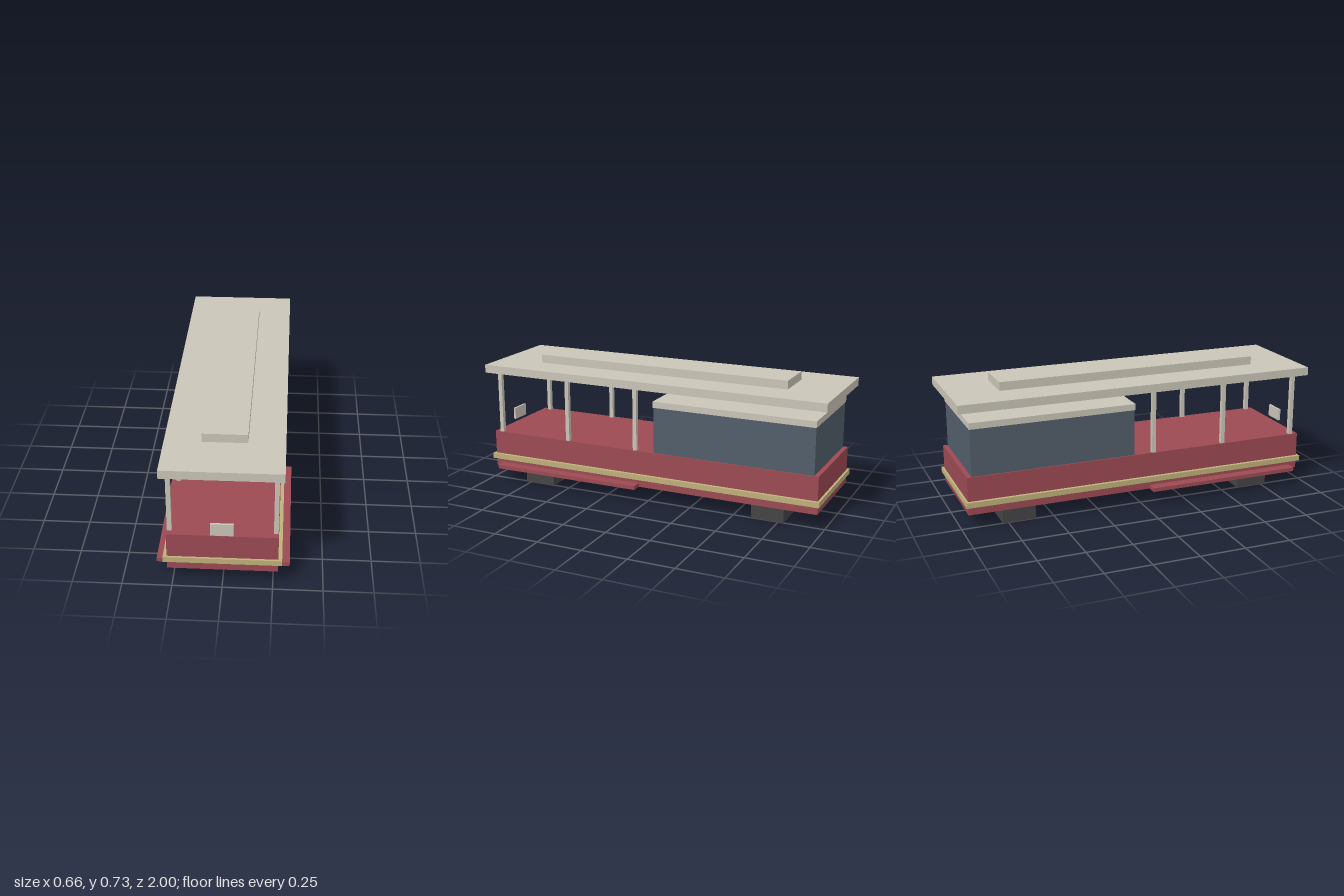
import * as THREE from 'three';

const paint = (name, color) => {
  const m = new THREE.MeshStandardMaterial({ color });
  m.name = name;
  return m;
};

export function createModel() {
  const cream = paint('cream', 0xcac5b7);
  const red = paint('red', 0x9c4a53);
  const slate = paint('slate glass', 0x525e6a);
  const brass = paint('brass', 0xbfb17a);
  const dark = paint('dark grey', 0x444444);

  const tram = new THREE.Group();
  tram.name = 'openTram';

  // Adds a box given by its extents on each axis
  const box = (name, mat, [x0, x1], [y0, y1], [z0, z1]) => {
    const mesh = new THREE.Mesh(new THREE.BoxGeometry(x1 - x0, y1 - y0, z1 - z0), mat);
    mesh.position.set((x0 + x1) / 2, (y0 + y1) / 2, (z0 + z1) / 2);
    mesh.name = name;
    tram.add(mesh);
  };
  const sym = (h) => [-h, h];

  // Lower body and trim
  box('body', red, sym(0.275), [0.083, 0.288], sym(0.965));
  box('trimBand', brass, sym(0.294), [0.128, 0.157], sym(0.977));

  // Closed rear cabin with its cap
  box('cabin', slate, sym(0.268), [0.288, 0.542], [-0.94, -0.043]);
  box('cabinCap', cream, sym(0.275), [0.542, 0.576], [-0.943, -0.04]);

  // Main roof and raised clerestory
  box('roof', cream, sym(0.298), [0.635, 0.68], sym(1));
  box('clerestory', cream, sym(0.114), [0.68, 0.726], sym(0.735));

  // Front plate
  box('frontPlate', cream, sym(0.057), [0.301, 0.368], [0.968, 0.98]);

  // Wheel trucks
  for (const z of [0.69, -0.69]) {
    box(z > 0 ? 'frontTruck' : 'rearTruck', dark, sym(0.252), [0, 0.083], [z - 0.09, z + 0.09]);
  }

  // Running boards and roof posts on both sides
  for (const s of [-1, 1]) {
    const side = s > 0 ? 'left' : 'right';
    const span = (a, b) => (s > 0 ? [a, b] : [-b, -a]);
    box(`${side}RunningBoard`, red, span(0.275, 0.332), [0.083, 0.104], [0.045, 0.918]);
    [0.922, 0.488, 0.07].forEach((z, i) =>
      box(`${side}Post${i + 1}`, cream, span(0.25, 0.273), [0.288, 0.635], [z - 0.011, z + 0.011]));
  }
  return tram;
}
